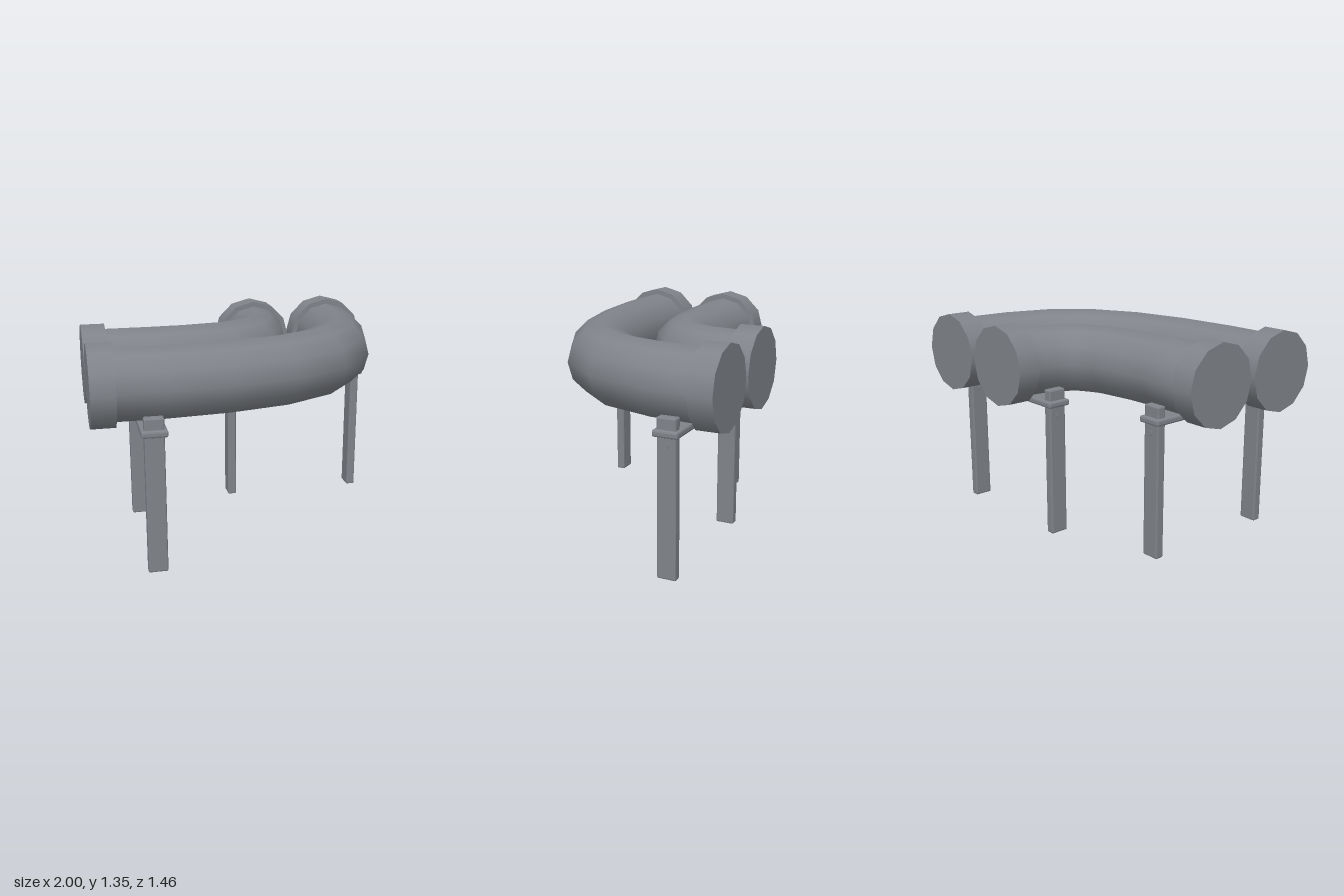
import * as THREE from 'three';
import { RoundedBoxGeometry } from 'three/addons/geometries/RoundedBoxGeometry.js';

const SIDES = 12, AXIS_Y = 1.098, PIPE_R = 0.217, COLLAR_R = 0.25, COLLAR_L = 0.145;
const BEAM_Y = 0.86;

const steel = new THREE.MeshStandardMaterial({ color: 0x80848a });
steel.name = 'grey steel';

function add(parent, geometry, name, x = 0, y = 0, z = 0) {
  const mesh = new THREE.Mesh(geometry, steel);
  mesh.name = name;
  mesh.position.set(x, y, z);
  parent.add(mesh);
  return mesh;
}

// Bent pipe: each station gives the inner and outer edge [xi, zi, xo, zo]
function pipeGeometry(stations) {
  const pos = [], index = [];
  stations.forEach(([xi, zi, xo, zo], i) => {
    for (let j = 0; j < SIDES; j++) {
      const a = (j / SIDES) * Math.PI * 2, c = Math.cos(a) / 2;
      pos.push((xi + xo) / 2 + (xo - xi) * c, AXIS_Y + PIPE_R * Math.sin(a), (zi + zo) / 2 + (zo - zi) * c);
      if (i === 0) continue;
      const k = (j + 1) % SIDES, p = (i - 1) * SIDES, q = i * SIDES;
      index.push(p + j, q + j, p + k, q + j, q + k, p + k);
    }
  });
  const g = new THREE.BufferGeometry();
  g.setAttribute('position', new THREE.Float32BufferAttribute(pos, 3));
  g.setIndex(index);
  g.computeVertexNormals();
  return g;
}

// Box with flat chamfered edges
function chamferBox(w, h, d, r) {
  const g = new RoundedBoxGeometry(w, h, d, 1, r);
  g.computeVertexNormals();
  return g;
}

// Pipe with a closed collar at each end: left end at z = zLeft, back end at x = xBack
function makePipe(name, stations, zLeft, xBack) {
  const group = new THREE.Group();
  group.name = name;
  add(group, pipeGeometry(stations), 'bentPipe');
  const collar = new THREE.CylinderGeometry(COLLAR_R, COLLAR_R, COLLAR_L, SIDES);
  const side = add(group, collar.clone().rotateZ(Math.PI / 2), 'sideCollar', -1 + COLLAR_L / 2, AXIS_Y, zLeft);
  side.geometry.computeBoundingBox();
  add(group, collar.clone().rotateX(Math.PI / 2), 'backCollar', xBack, AXIS_Y, -0.73 + COLLAR_L / 2);
  return group;
}

// Support trestle, built along local x: two legs, a cross beam and bolts
function makeTrestle(name) {
  const group = new THREE.Group();
  group.name = name;
  add(group, chamferBox(0.995, 0.042, 0.155, 0.012), 'crossBeam', 0, BEAM_Y, 0);
  for (const s of [-1, 1]) {
    add(group, chamferBox(0.058, 0.95, 0.117, 0.009), 'leg', s * 0.446, 0.475, 0);
    // square-headed bolt through the broad faces
    const bolt = new THREE.CylinderGeometry(0.017, 0.017, 0.072, 4).rotateZ(Math.PI / 2);
    add(group, bolt, 'bolt', s * 0.446, 0.785, 0);
  }
  return group;
}

export function createModel() {
  const model = new THREE.Group();
  model.name = 'pipeRun';

  model.add(makePipe('innerPipe', [
    [-0.95, -0.267, -0.95, 0.167],
    [-0.58, -0.267, -0.58, 0.167],
    [-0.38, -0.275, -0.36, 0.155],
    [-0.165, -0.305, -0.03, 0.10],
    [-0.055, -0.345, 0.26, -0.08],
    [-0.005, -0.435, 0.39, -0.345],
    [0.003, -0.59, 0.437, -0.59],
    [0.003, -0.68, 0.437, -0.68],
  ], -0.05, 0.22));

  model.add(makePipe('outerPipe', [
    [-0.95, 0.258, -0.95, 0.692],
    [-0.58, 0.258, -0.58, 0.692],
    [-0.23, 0.23, -0.175, 0.655],
    [0.08, 0.16, 0.22, 0.57],
    [0.30, 0.055, 0.575, 0.385],
    [0.44, -0.09, 0.83, 0.085],
    [0.51, -0.32, 0.942, -0.29],
    [0.53, -0.59, 0.962, -0.59],
    [0.53, -0.68, 0.962, -0.68],
  ], 0.475, 0.748));

  const back = makeTrestle('backTrestle');
  back.position.set(0.467, 0, -0.443);
  const side = makeTrestle('sideTrestle');
  side.rotation.y = Math.PI / 2;
  side.position.set(-0.652, 0, 0.217);
  model.add(back, side);

  return model;
}
